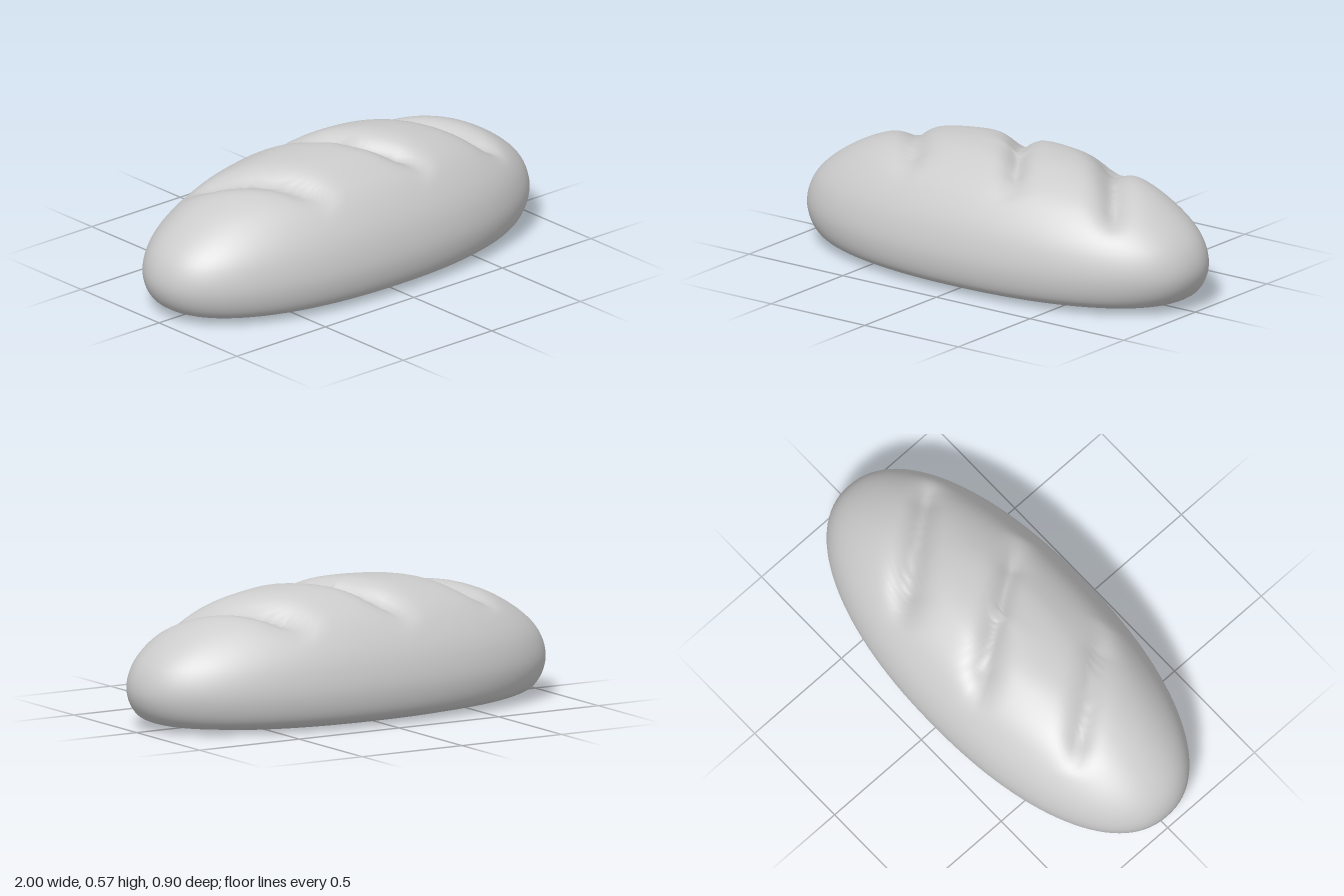
import * as THREE from 'three';
import { mergeVertices } from 'three/addons/utils/BufferGeometryUtils.js';

// Diagonal cuts in the crust: start and end (x, z), depth, half width
const SLASHES = [
  { a: [-0.66, -0.24], b: [-0.27, 0.32], depth: 0.05, width: 0.055 },
  { a: [-0.18, -0.36], b: [0.27, 0.32], depth: 0.065, width: 0.055 },
  { a: [0.3, -0.34], b: [0.76, 0.26], depth: 0.075, width: 0.06 },
];

// How far the crust sinks at a point seen from above
function slashDepth(x, z) {
  let sink = 0;
  for (const { a, b, depth, width } of SLASHES) {
    const dx = b[0] - a[0], dz = b[1] - a[1], len = Math.hypot(dx, dz);
    const along = ((x - a[0]) * dx + (z - a[1]) * dz) / (len * len);
    if (along <= 0 || along >= 1) continue;
    const across = Math.abs((x - a[0]) * dz - (z - a[1]) * dx) / len;
    const fade = Math.min(1, 1.6 * Math.sin(Math.PI * along));
    sink += depth * fade * Math.exp(-Math.pow(across / width, 1.5));
  }
  return sink;
}

function loafGeometry() {
  // Half length, height and half width from the base edge to the crown
  const profile = new THREE.CatmullRomCurve3([
    [0.72, 0, 0.3], [0.945, 0.05, 0.425], [1, 0.155, 0.45], [0.965, 0.28, 0.427],
    [0.77, 0.435, 0.335], [0.43, 0.543, 0.18], [0, 0.582, 0],
  ].map(p => new THREE.Vector3(...p)));
  const rings = [new THREE.Vector3(0, 0, 0), ...profile.getPoints(60)];

  const sides = 120, positions = [], index = [];
  rings.forEach((r, i) => {
    for (let j = 0; j < sides; j++) {
      // Slightly squared oval outline
      const t = (j / sides) * Math.PI * 2, c = Math.cos(t), s = Math.sin(t);
      const x = r.x * Math.sign(c) * Math.pow(Math.abs(c), 0.92);
      const z = r.z * Math.sign(s) * Math.pow(Math.abs(s), 0.92);
      const crust = THREE.MathUtils.smoothstep(r.y, 0.3, 0.44);
      positions.push(x, Math.max(0, r.y - crust * slashDepth(x, z)), z);
      if (i === 0) continue;
      const k = (j + 1) % sides, lo = (i - 1) * sides, hi = i * sides;
      index.push(lo + j, hi + j, lo + k, hi + j, hi + k, lo + k);
    }
  });
  let geometry = new THREE.BufferGeometry();
  geometry.setAttribute('position', new THREE.Float32BufferAttribute(positions, 3));
  geometry.setIndex(index);
  geometry = mergeVertices(geometry, 1e-5);
  geometry.computeVertexNormals();
  return geometry;
}

export function createModel() {
  const group = new THREE.Group();
  group.name = 'breadLoaf';
  const loaf = new THREE.Mesh(loafGeometry(), new THREE.MeshStandardMaterial({ color: 0xcccccc }));
  loaf.name = 'loaf';
  group.add(loaf);
  return group;
}
